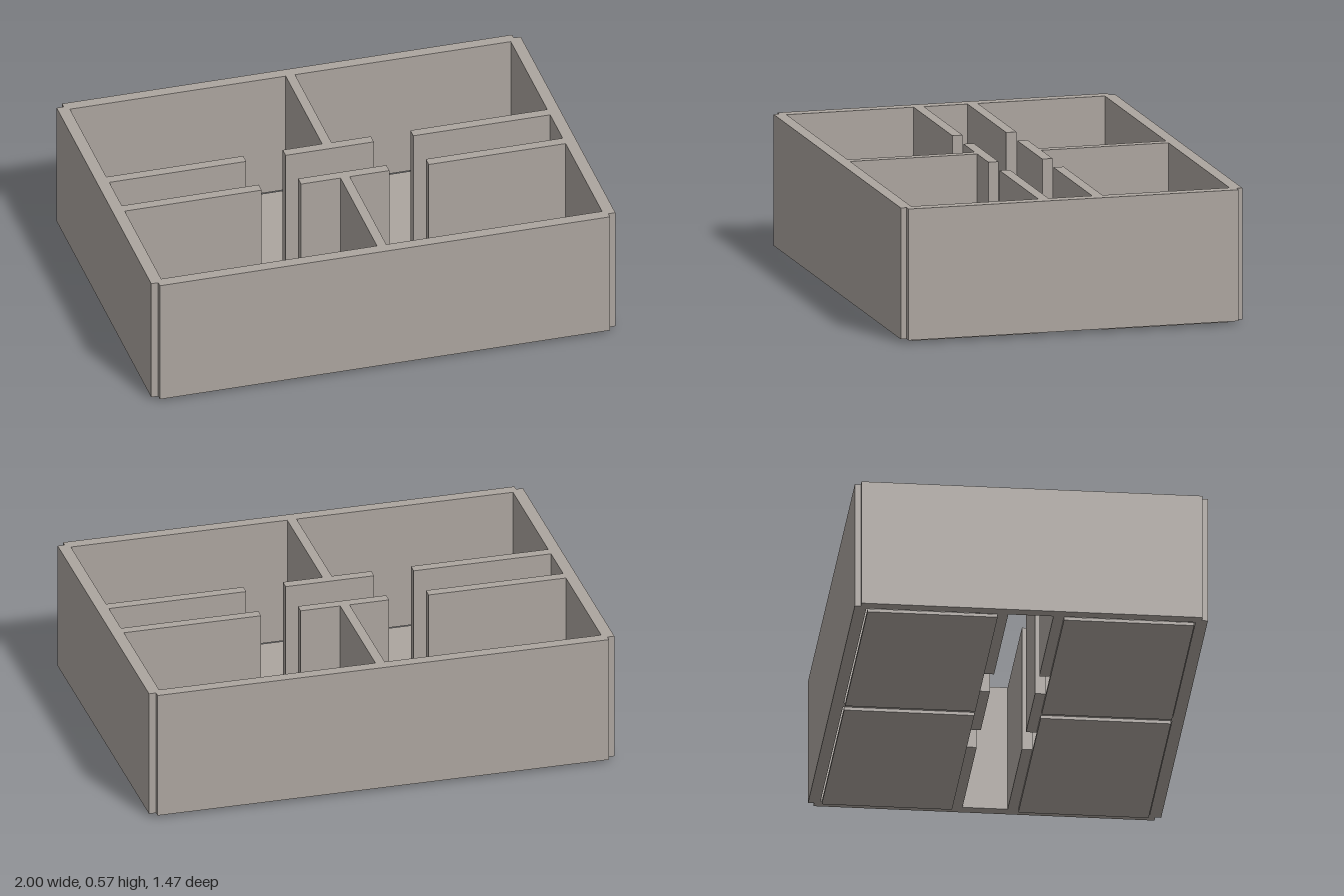
import * as THREE from 'three';

export function createModel() {
  const model = new THREE.Group();
  model.name = 'fourRoomBlock';
  const plaster = new THREE.MeshStandardMaterial({ color: 0xaca59f });
  plaster.name = 'warm grey plaster';

  const base = 0.014, top = 0.57;       // wall bottom and top
  const inX = 0.95, inZ = 0.685;        // inner faces of the outer walls
  const hallIn = 0.094, hallOut = 0.138; // corridor wall faces

  // Box from its x, y and z limits
  function box(name, x0, x1, y0, y1, z0, z1) {
    const mesh = new THREE.Mesh(new THREE.BoxGeometry(x1 - x0, y1 - y0, z1 - z0), plaster);
    mesh.position.set((x0 + x1) / 2, (y0 + y1) / 2, (z0 + z1) / 2);
    mesh.name = name;
    model.add(mesh);
  }

  // Outer walls: a ring with a small notch at each corner
  const corner = [[1, 0.71], [0.97, 0.71], [0.97, 0.735]];
  const mirror = (sx, sy) => corner.map(([x, y]) => new THREE.Vector2(x * sx, y * sy));
  const ring = new THREE.Shape([
    ...mirror(1, 1), ...mirror(-1, 1).reverse(),
    ...mirror(-1, -1), ...mirror(1, -1).reverse(),
  ]);
  ring.holes.push(new THREE.Path([
    new THREE.Vector2(-inX, -inZ), new THREE.Vector2(-inX, inZ),
    new THREE.Vector2(inX, inZ), new THREE.Vector2(inX, -inZ),
  ]));
  const ringGeometry = new THREE.ExtrudeGeometry(ring, { depth: top - base, bevelEnabled: false });
  ringGeometry.rotateX(-Math.PI / 2);
  const outerWalls = new THREE.Mesh(ringGeometry, plaster);
  outerWalls.position.y = base;
  outerWalls.name = 'outerWalls';
  model.add(outerWalls);

  for (const [side, s] of [['front', 1], ['back', -1]]) {
    const span = (a, b) => (s > 0 ? [a, b] : [-b, -a]);

    // Wall between the two rooms
    box(side + 'RoomDivider', -0.02, 0.02, base, top, ...span(hallOut, inZ));

    // Corridor wall, broken by two doorways
    for (const [x0, x1] of [[-inX, -0.36], [-0.19, 0.19], [0.36, inX]]) {
      box(side + 'CorridorWall', x0, x1, base, top, ...span(hallIn, hallOut));
    }

    // Room floors, set just below the walls
    box(side + 'LeftFloor', 0.02, 0.948, 0, base, ...span(hallOut, 0.68));
    box(side + 'RightFloor', -0.948, -0.02, 0, base, ...span(hallOut, 0.68));
  }
  return model;
}
